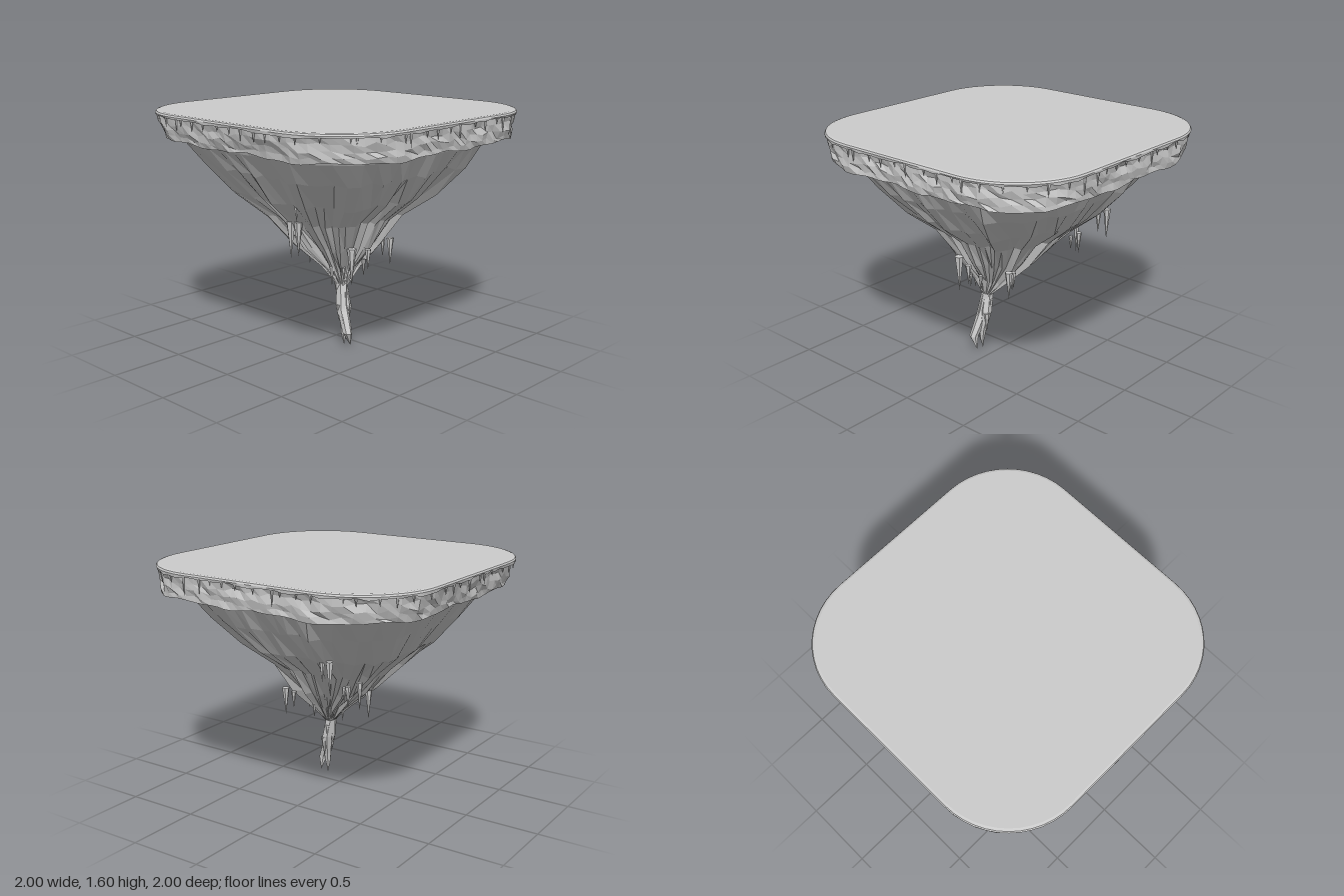
import * as THREE from 'three';

// Small seeded random generator, 0..1
function seeded(seed) {
  return () => {
    seed = (seed * 1664525 + 1013904223) % 4294967296;
    return seed / 4294967296;
  };
}

// Distance from centre to a unit rounded square with corner radius r, at angle a
function roundedSquare(a, r) {
  const c = Math.abs(Math.cos(a)), s = Math.abs(Math.sin(a)), k = 1 - r;
  const t = 1 / Math.max(c, s);
  if (t * Math.min(c, s) <= k) return t;
  const b = k * (c + s);
  return b + Math.sqrt(Math.max(0, b * b - 2 * k * k + r * r));
}

// One closed ring of points; wobble(i) returns { scale, dy }
function ring(n, cx, y, cz, hx, hz, corner, wobble = () => ({ scale: 1, dy: 0 })) {
  return Array.from({ length: n }, (_, i) => {
    const a = (i / n) * Math.PI * 2;
    const { scale, dy } = wobble(i);
    const d = roundedSquare(a, corner) * scale;
    return [cx + Math.cos(a) * d * hx, y + dy, cz + Math.sin(a) * d * hz];
  });
}

// Faceted skin over rings listed from top to bottom
function loft(rings) {
  const n = rings[0].length, index = [];
  for (let j = 0; j < rings.length - 1; j++) {
    for (let i = 0; i < n; i++) {
      const a = j * n + i, b = j * n + (i + 1) % n;
      index.push(a, b, a + n, b, b + n, a + n);
    }
  }
  const indexed = new THREE.BufferGeometry();
  indexed.setAttribute('position', new THREE.Float32BufferAttribute(rings.flat(2), 3));
  indexed.setIndex(index);
  const geometry = indexed.toNonIndexed();
  geometry.computeVertexNormals();
  return geometry;
}

export function createModel() {
  const model = new THREE.Group();
  const material = new THREE.MeshStandardMaterial({
    color: 0xcccccc, flatShading: true, side: THREE.DoubleSide,
  });
  const rand = seeded(17);
  const add = (parent, name, geometry) => {
    const mesh = new THREE.Mesh(geometry, material);
    mesh.name = name;
    parent.add(mesh);
    return mesh;
  };
  const group = (name) => {
    const g = new THREE.Group();
    g.name = name;
    model.add(g);
    return g;
  };
  // Downward spike with its wide end at (x, y, z)
  const spike = (parent, name, x, y, z, length, radius, sides) => {
    const cone = add(parent, name, new THREE.ConeGeometry(radius, length, sides));
    cone.rotation.set(Math.PI, rand() * 6, 0);
    cone.position.set(x, y - length / 2, z);
  };

  // Flat turf slab with a softly rolled rim and a ragged lower edge
  const N = 112, CORNER = 0.52;
  const ragged = () => ({ scale: 1 - rand() * 0.006, dy: (rand() - 0.5) * 0.014 });
  add(model, 'turf', loft([
    ring(N, 0, 1.613, 0, 0, 0, CORNER),
    ring(N, 0, 1.613, 0, 0.978, 0.978, CORNER),
    ring(N, 0, 1.608, 0, 0.992, 0.992, CORNER),
    ring(N, 0, 1.597, 0, 0.998, 0.998, CORNER),
    ring(N, 0, 1.582, 0, 0.998, 0.998, CORNER, ragged),
    ring(N, 0, 1.584, 0, 0.95, 0.95, CORNER),
  ]));

  // Thin drips hanging from the turf rim
  const drips = group('turfDrips');
  for (let i = 0; i < 60; i++) {
    const a = ((i + rand() * 0.8) / 60) * Math.PI * 2;
    const d = roundedSquare(a, CORNER) * 0.984;
    const length = 0.04 + 0.085 * rand() * rand();
    spike(drips, 'turfDrip', Math.cos(a) * d, 1.59, Math.sin(a) * d, length, 0.011, 5);
  }

  // Chipped soil band with a wavy lower edge and an underside
  const chipped = () => ({ scale: 1 - rand() * 0.022, dy: (rand() - 0.5) * 0.026 });
  const wave = (i) => ({
    scale: 1 - rand() * 0.012,
    dy: 0.008 * Math.sin(i * 0.56) + 0.005 * Math.sin(i * 1.3),
  });
  add(model, 'soilBand', loft([
    ring(N, 0, 1.59, 0, 0.985, 0.985, CORNER),
    ring(N, 0.003, 1.545, 0, 0.985, 0.985, CORNER, chipped),
    ring(N, 0.008, 1.50, -0.005, 0.98, 0.98, CORNER, chipped),
    ring(N, 0.012, 1.46, -0.008, 0.972, 0.972, CORNER, chipped),
    ring(N, 0.015, 1.428, -0.012, 0.962, 0.962, CORNER, wave),
    ring(N, 0.005, 1.435, 0, 0.80, 0.80, CORNER),
  ]));

  // Ridged rock cone: [y, xMin, xMax, zMin, zMax, corner, ridge depth]
  const levels = [
    [1.45, -0.84, 0.86, -0.84, 0.86, 0.55, 0.02],
    [1.40, -0.83, 0.84, -0.82, 0.84, 0.55, 0.03],
    [1.25, -0.73, 0.76, -0.74, 0.75, 0.6, 0.07],
    [1.06, -0.60, 0.61, -0.60, 0.61, 0.65, 0.12],
    [0.90, -0.41, 0.43, -0.41, 0.46, 0.7, 0.18],
    [0.71, -0.23, 0.33, -0.26, 0.33, 0.8, 0.26],
    [0.55, -0.02, 0.22, -0.09, 0.20, 0.9, 0.3],
    [0.43, 0.095, 0.17, 0.04, 0.12, 1, 0.1],
    [0.42, 0.13, 0.13, 0.08, 0.08, 1, 0],
  ];
  const COLUMNS = 68;
  const ridges = Array.from({ length: COLUMNS }, () => rand());
  add(model, 'rockCone', loft(levels.map(([y, x0, x1, z0, z1, corner, depth]) =>
    ring(COLUMNS, (x0 + x1) / 2, y, (z0 + z1) / 2, (x1 - x0) / 2, (z1 - z0) / 2, corner,
      (i) => ({
        scale: 1.02 - depth * (0.7 * ridges[i] + 0.3 * rand()),
        dy: (rand() - 0.5) * (y < 1.4 && y > 0.5 ? 0.035 : 0),
      })))));

  // Crooked strands of the root: [x, y, z, radius] from top to tip
  const roots = group('root');
  const strands = [
    [[0.13, 0.47, 0.08, 0.04], [0.15, 0.30, 0.105, 0.04], [0.20, 0.18, 0.12, 0.036],
      [0.228, 0.115, 0.13, 0.032], [0.228, 0.02, 0.10, 0]],
    [[0.125, 0.45, 0.08, 0.035], [0.155, 0.30, 0.075, 0.038], [0.17, 0.16, 0.10, 0.028],
      [0.17, 0.09, 0.105, 0.018], [0.168, 0.01, 0.10, 0]],
    [[0.14, 0.44, 0.09, 0.03], [0.165, 0.28, 0.12, 0.028], [0.21, 0.14, 0.135, 0.022],
      [0.22, 0.07, 0.12, 0]],
  ];
  for (const strand of strands) {
    add(roots, 'rootStrand', loft(strand.map(([x, y, z, r]) => ring(6, x, y, z, r, r, 1))));
  }

  // Stalactites: [x, top y, z, length, radius]
  const stalactites = group('stalactites');
  [
    [0.00, 0.91, 0.43, 0.25, 0.032], [0.06, 0.91, 0.42, 0.23, 0.03],
    [0.31, 0.73, 0.18, 0.25, 0.032], [0.345, 0.71, 0.06, 0.14, 0.022],
    [-0.20, 0.71, 0.06, 0.21, 0.025], [0.28, 0.72, -0.24, 0.19, 0.026],
    [0.22, 0.70, -0.23, 0.12, 0.018], [-0.36, 0.88, -0.30, 0.19, 0.02],
    [-0.31, 0.86, -0.36, 0.15, 0.02], [-0.26, 0.84, -0.33, 0.10, 0.016],
    [-0.32, 1.08, -0.58, 0.21, 0.025], [-0.25, 1.06, -0.56, 0.13, 0.018],
    [0.20, 1.06, 0.57, 0.10, 0.016], [0.00, 0.56, 0.04, 0.11, 0.015],
    [0.12, 0.62, -0.13, 0.12, 0.015], [0.27, 0.62, 0.02, 0.12, 0.016],
    [0.14, 0.58, 0.19, 0.14, 0.018], [0.22, 0.58, 0.16, 0.10, 0.015],
    [0.12, 0.445, 0.11, 0.14, 0.025], [0.14, 0.39, 0.05, 0.10, 0.02],
    [0.15, 0.30, 0.13, 0.12, 0.024], [0.17, 0.29, 0.06, 0.14, 0.024],
  ].forEach(([x, y, z, length, radius]) =>
    spike(stalactites, 'stalactite', x, y, z, length, radius, 6));

  // Stand the lowest tip on the ground
  const box = new THREE.Box3().setFromObject(model);
  model.children.forEach((part) => { part.position.y -= box.min.y; });
  return model;
}
